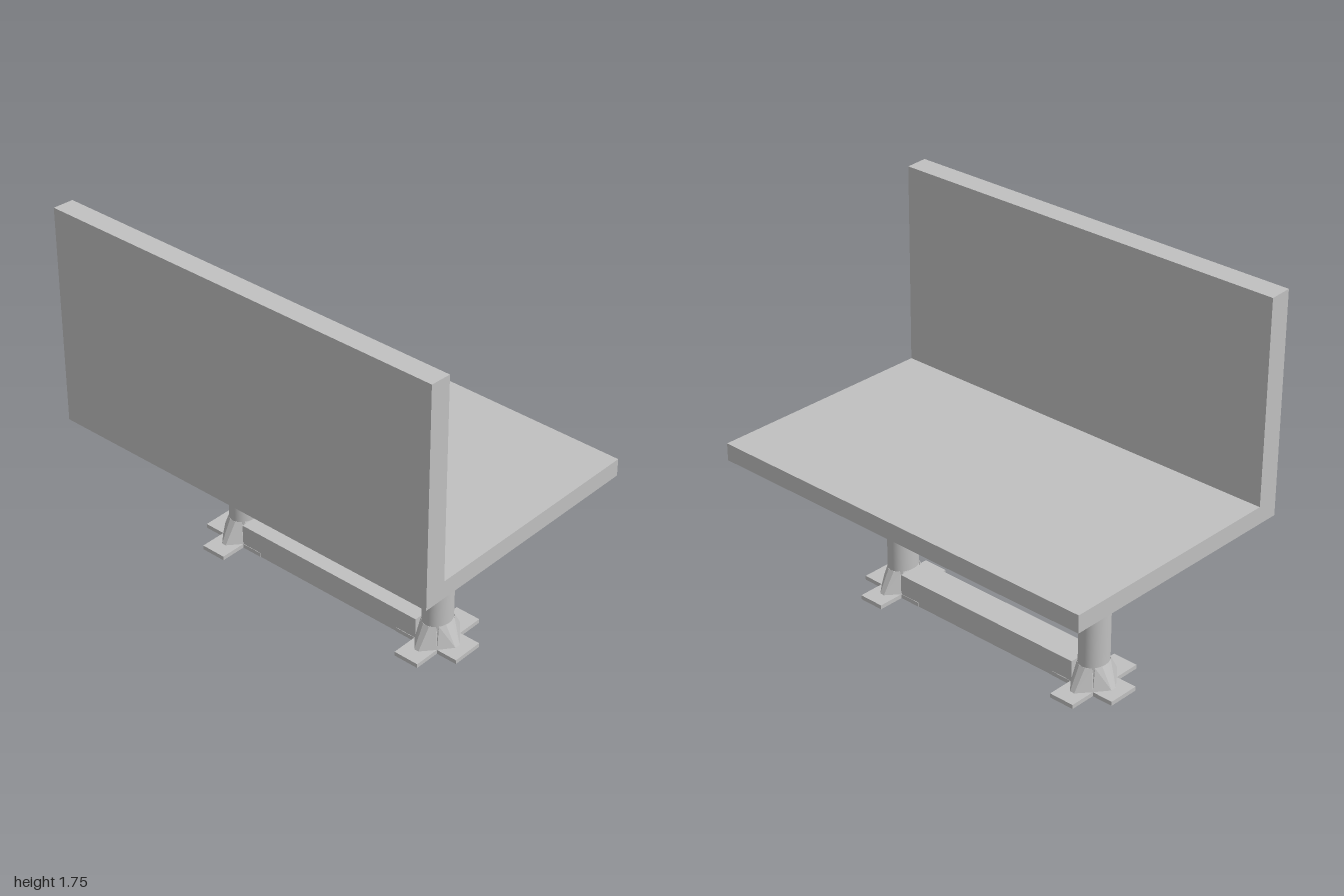
import * as THREE from 'three';
import { ConvexGeometry } from 'three/addons/geometries/ConvexGeometry.js';

const grey = new THREE.MeshStandardMaterial({ color: 0xc0c0c0 });
grey.name = 'plain grey';

function part(name, geometry, parent) {
  const mesh = new THREE.Mesh(geometry, grey);
  mesh.name = name;
  parent.add(mesh);
  return mesh;
}

// Extrude a closed outline of [a, b] points
function extrude(points, depth) {
  const shape = new THREE.Shape(points.map(([a, b]) => new THREE.Vector2(a, b)));
  return new THREE.ExtrudeGeometry(shape, { depth, bevelEnabled: false });
}

// Wedge-shaped gusset, wide at the post and narrow at its sloping outer face
function gussetGeometry() {
  const points = [];
  for (const s of [-1, 1]) {
    points.push(
      new THREE.Vector3(0.06, 0.02, s * 0.077),
      new THREE.Vector3(0.077, 0.02, s * 0.077),
      new THREE.Vector3(0.06, 0.12, s * 0.05),
      new THREE.Vector3(0.077, 0.12, s * 0.02),
      new THREE.Vector3(0.137, 0.02, s * 0.014)
    );
  }
  return new ConvexGeometry(points);
}

// Post with a cross-shaped foot and four gussets
function createLeg() {
  const leg = new THREE.Group();
  leg.name = 'leg';

  const post = part('post', new THREE.CylinderGeometry(0.077, 0.077, 0.72, 32), leg);
  post.position.y = 0.37;

  const w = 0.077, r = 0.205;
  const foot = extrude([
    [w, w], [w, r], [-w, r], [-w, w], [-r, w], [-r, -w],
    [-w, -w], [-w, -r], [w, -r], [w, -w], [r, -w], [r, w]
  ], 0.02);
  foot.rotateX(-Math.PI / 2);
  part('footPlate', foot, leg);

  const gusset = gussetGeometry();
  for (let i = 0; i < 4; i++) {
    part('gusset', gusset, leg).rotation.y = i * Math.PI / 2;
  }
  // The leg is narrower along the length of the bench
  leg.scale.z = 0.81;
  return leg;
}

export function createModel() {
  const bench = new THREE.Group();
  bench.name = 'bench';

  // Seat and backrest share one L-shaped section
  const seat = extrude([
    [-0.612, 0.73], [0.612, 0.73], [0.612, 0.812],
    [-0.507, 0.812], [-0.509, 1.25], [-0.51, 1.75], [-0.612, 1.755]
  ], 2);
  seat.translate(0, 0, -1);
  part('seatAndBackrest', seat, bench);

  // Legs at both ends
  for (const side of [-1, 1]) {
    const leg = createLeg();
    leg.position.z = side * 0.564;
    bench.add(leg);
  }

  // Floor beam joining the legs
  const beam = part('floorBeam', new THREE.BoxGeometry(0.15, 0.118, 1.01), bench);
  beam.position.y = 0.059;

  return bench;
}
